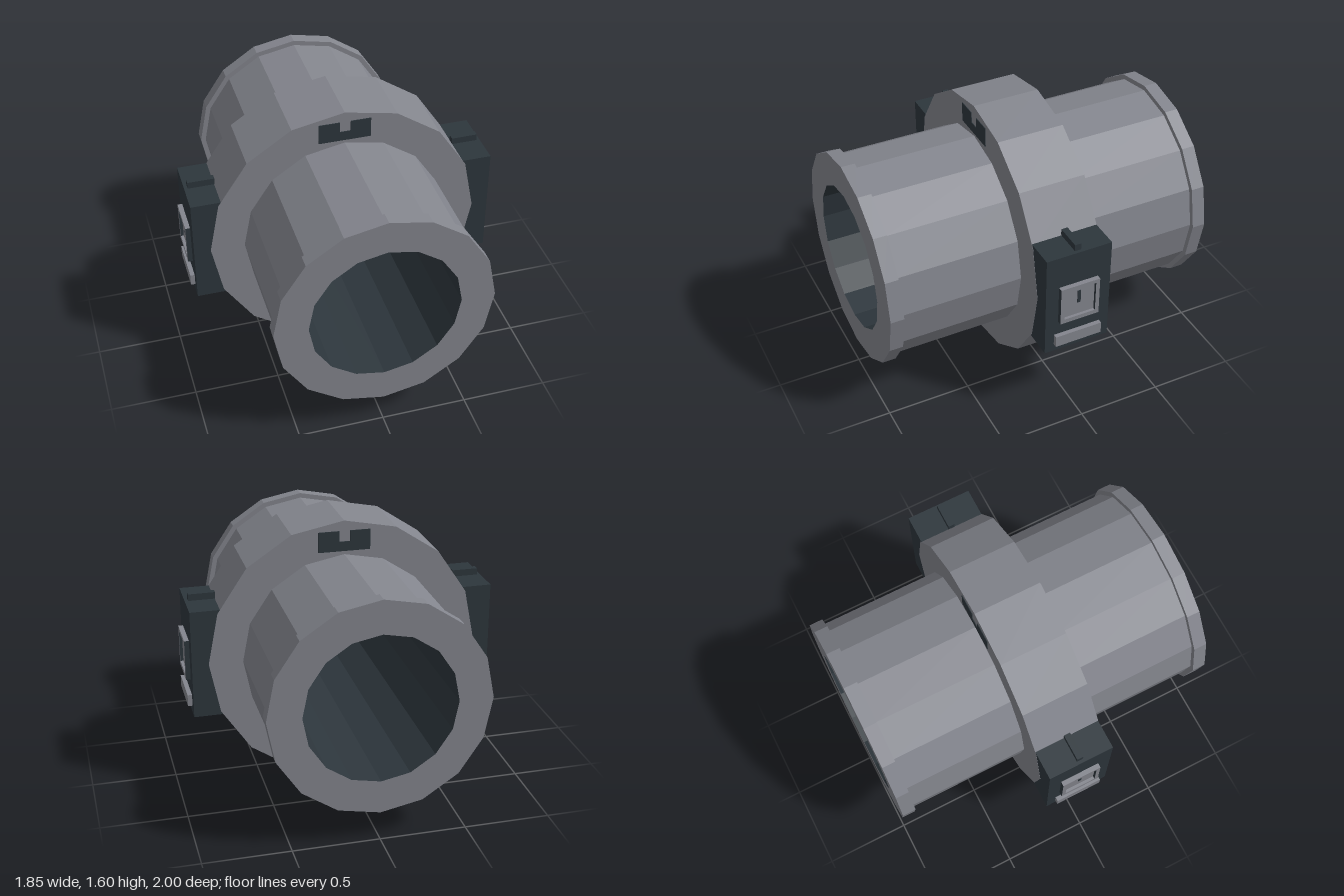
import * as THREE from 'three';

const grey = new THREE.MeshStandardMaterial({ color: 0x83858d, flatShading: true });
grey.name = 'steel grey';
const dark = new THREE.MeshStandardMaterial({ color: 0x2d363c, flatShading: true });
dark.name = 'dark slate';

const SIDES = 16;
const CY = 0.8;

// Revolve [radius, z] points about the z axis, with a corner at the top
function revolve(name, points, material) {
  const geo = new THREE.LatheGeometry(points.map(([r, z]) => new THREE.Vector2(r, z)), SIDES);
  geo.rotateX(-Math.PI / 2);
  geo.translate(0, CY, 0);
  const mesh = new THREE.Mesh(geo, material);
  mesh.name = name;
  return mesh;
}

// Box given by its min and max on each axis
function box(name, [x0, x1], [y0, y1], [z0, z1], material) {
  const mesh = new THREE.Mesh(new THREE.BoxGeometry(x1 - x0, y1 - y0, z1 - z0), material);
  mesh.position.set((x0 + x1) / 2, (y0 + y1) / 2, (z0 + z1) / 2);
  mesh.name = name;
  return mesh;
}

// Control box for the +x side
function controlBox(name) {
  const g = new THREE.Group();
  g.name = name;
  g.add(box('housing', [0.72, 0.897], [0.475, 1.13], [-0.199, 0.199], dark));
  g.add(box('topFin', [0.72, 0.877], [1.13, 1.17], [-0.019, 0.019], dark));
  g.add(box('lowerBar', [0.897, 0.923], [0.523, 0.593], [-0.143, 0.143], grey));
  // Raised frame around a recessed panel; the upright bars have dark flanks
  const flanked = [grey, grey, grey, grey, dark, dark];
  for (const s of [-1, 1]) {
    const z = [0.096 * s, 0.12 * s].sort((a, b) => a - b);
    g.add(box('frameUpright', [0.897, 0.925], [0.682, 0.925], z, flanked));
  }
  g.add(box('frameTop', [0.897, 0.925], [0.901, 0.925], [-0.096, 0.096], grey));
  g.add(box('frameBottom', [0.897, 0.925], [0.682, 0.708], [-0.096, 0.096], grey));
  g.add(box('panel', [0.897, 0.908], [0.708, 0.901], [-0.096, 0.096], grey));
  g.add(box('slot', [0.908, 0.912], [0.79, 0.873], [-0.01, 0.01], dark));
  return g;
}

// Thin notched marker at the top of the collar, facing +z
function marker(name) {
  const shape = new THREE.Shape([
    [-0.152, 1.42], [0.152, 1.42], [0.152, 1.54], [0.034, 1.54],
    [0.034, 1.477], [-0.03, 1.477], [-0.03, 1.54], [-0.152, 1.54],
  ].map(([x, y]) => new THREE.Vector2(x, y)));
  const geo = new THREE.ExtrudeGeometry(shape, { depth: 0.004, bevelEnabled: false });
  geo.translate(0, 0, 0.2);
  const mesh = new THREE.Mesh(geo, dark);
  mesh.name = name;
  return mesh;
}

export function createModel() {
  const model = new THREE.Group();
  model.name = 'pipeCoupling';

  // Pipe with end flanges and the central collar
  model.add(revolve('pipeShell', [
    [0.435, -1], [0.63, -1], [0.63, -0.92], [0.6, -0.92], [0.6, -0.2], [0.8, -0.2],
    [0.8, 0.2], [0.6, 0.2], [0.6, 0.92], [0.63, 0.92], [0.63, 1], [0.435, 1],
  ], grey));
  // Inner wall, facing the axis
  model.add(revolve('bore', [[0.435, 1], [0.435, -1]], dark));

  // Side boxes and markers, repeated by a half turn
  const left = controlBox('leftControlBox');
  const right = controlBox('rightControlBox');
  right.rotation.y = Math.PI;
  const front = marker('frontMarker');
  const back = marker('backMarker');
  back.rotation.y = Math.PI;
  model.add(left, right, front, back);
  return model;
}
